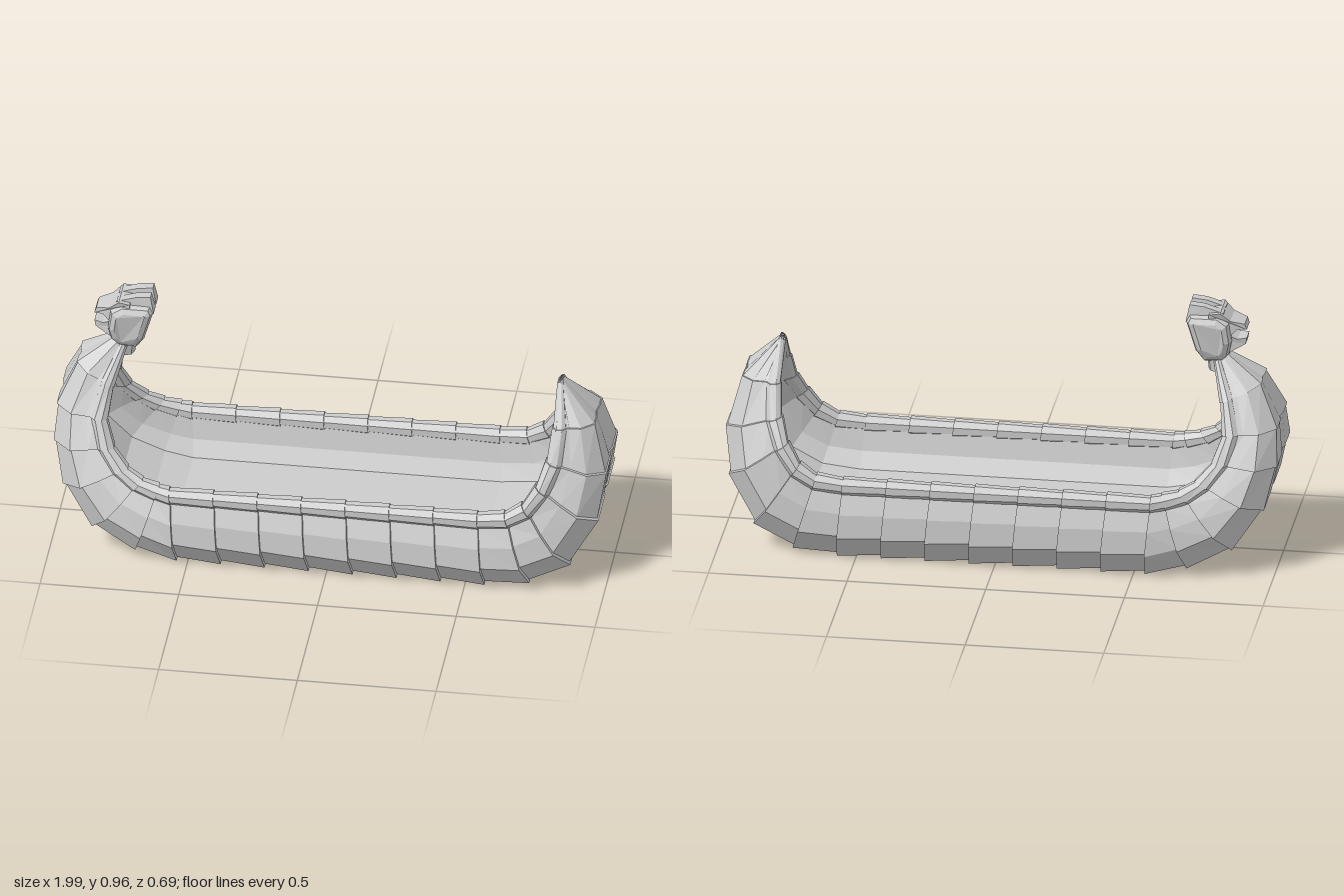
import * as THREE from 'three';

const mat = new THREE.MeshStandardMaterial({ color: 0xcccccc, flatShading: true, side: THREE.DoubleSide });

// Stations from bow to stern: keel x, keel y, rim x, rim y, bottom / bilge / rim half-widths
const bow = [
  [-0.80, 0.77, -0.75, 0.74, 0.02, 0.035, 0.04],
  [-0.93, 0.68, -0.785, 0.62, 0.07, 0.115, 0.13],
  [-0.995, 0.53, -0.80, 0.52, 0.12, 0.18, 0.19],
  [-1.0, 0.40, -0.77, 0.43, 0.16, 0.24, 0.235],
  [-0.96, 0.25, -0.715, 0.37, 0.21, 0.29, 0.27],
  [-0.85, 0.105, -0.66, 0.34, 0.25, 0.32, 0.29],
  [-0.69, 0.035, -0.60, 0.325, 0.275, 0.335, 0.30],
];
const stern = [
  [0.73, 0.025, 0.64, 0.325, 0.275, 0.338, 0.30],
  [0.875, 0.10, 0.70, 0.36, 0.25, 0.32, 0.29],
  [0.97, 0.27, 0.745, 0.425, 0.21, 0.28, 0.265],
  [0.99, 0.43, 0.775, 0.50, 0.145, 0.205, 0.21],
  [0.94, 0.60, 0.79, 0.60, 0.09, 0.13, 0.14],
  [0.81, 0.73, 0.798, 0.72, 0.015, 0.02, 0.02],
];
const middle = Array.from({ length: 8 }, (_, i) => {
  const x = -0.54 + i * 0.1585;
  return [x, 0.006, x - 0.025, 0.317, 0.28, 0.345, 0.305];
});
const stations = [...bow, ...middle, ...stern].map(([px, py, rx, ry, a, b, c]) => ({ px, py, rx, ry, a, b, c }));

// Point at height h (0 keel, 1 rim) and half-width z of a station
const at = (s, h, z) => new THREE.Vector3(
  THREE.MathUtils.lerp(s.px, s.rx, h), THREE.MathUtils.lerp(s.py, s.ry, h), z);

// Skin of quads between two rows of points
function band(out, A, B) {
  for (let i = 0; i < A.length - 1; i++) {
    for (const p of [A[i], B[i], B[i + 1], A[i], B[i + 1], A[i + 1]]) out.push(p.x, p.y, p.z);
  }
}

function skinMesh(name, out) {
  const geo = new THREE.BufferGeometry();
  geo.setAttribute('position', new THREE.Float32BufferAttribute(out, 3));
  geo.computeVertexNormals();
  const mesh = new THREE.Mesh(geo, mat);
  mesh.name = name;
  return mesh;
}

// Hull section from one rim to the other, with a shallow keel groove
function hullSection(s, k) {
  const half = [
    [0.80, s.c], [0.58, THREE.MathUtils.lerp(s.b, s.c, 0.25)], [0.30, s.b],
    [0, s.a], [0, Math.min(0.035, s.a * 0.5)],
  ];
  const full = [...half, [0.04, 0], ...half.slice().reverse().map(([h, z]) => [h, -z])];
  return full.map(([h, z]) => at(s, 0.5 + (h - 0.5) * k, z * k));
}

// Ring of the gunwale roll on one side
function rimSection(s, k, side) {
  const len = Math.hypot(s.px - s.rx, s.py - s.ry);
  const r = Math.min(0.036, 0.012 + s.c * 0.12);
  const h = 1 - Math.min(0.5, r / len);
  return Array.from({ length: 9 }, (_, i) => {
    const t = (i + 0.5) / 8 * Math.PI * 2;
    return at(s, h + Math.cos(t) * r * k / len, side * (s.c - r * 0.6 + Math.sin(t) * r * k));
  });
}

// Overlapping plates: each starts tucked in and flares to the next station
function plates(section, tuck) {
  const out = [];
  for (let i = 0; i < stations.length - 1; i++) {
    const full = section(stations[i + 1], 1);
    band(out, section(stations[i], tuck), full);
    band(out, full, section(stations[i + 1], tuck));
  }
  return out;
}

// Inner walls and floor
function innerSection(s) {
  const top = Math.max(0.01, s.c - 0.045), floor = Math.min(0.2, Math.max(0.008, s.c - 0.085));
  const half = [[0.9, top], [0.6, THREE.MathUtils.lerp(floor, top, 0.6)], [0.42, floor]];
  return [...half, ...half.slice().reverse().map(([h, z]) => [h, -z])].map(([h, z]) => at(s, h, z));
}

// Side profile extruded across z, then narrowed by a rule
function profilePart(name, points, halfWidth, bevel, narrow) {
  const shape = new THREE.Shape(points.map(([x, y]) => new THREE.Vector2(x, y)));
  const depth = 2 * (halfWidth - bevel);
  const geo = new THREE.ExtrudeGeometry(shape, {
    depth, steps: 2, bevelEnabled: bevel > 0, bevelThickness: bevel,
    bevelSize: bevel, bevelOffset: -bevel, bevelSegments: 2,
  });
  geo.translate(0, 0, -depth / 2);
  const p = geo.attributes.position;
  for (let i = 0; i < p.count; i++) p.setZ(i, p.getZ(i) * narrow(p.getX(i), p.getY(i)));
  geo.computeVertexNormals();
  const mesh = new THREE.Mesh(geo, mat);
  mesh.name = name;
  return mesh;
}

function createHead() {
  const head = new THREE.Group();
  head.name = 'figurehead';
  const barrel = (x, y) => 1 - 0.45 * Math.min(1, Math.abs(y - 0.86) / 0.12) ** 2;
  const snout = (x) => THREE.MathUtils.clamp(1 + (x + 0.77) * 5, 0.5, 1);
  head.add(profilePart('skull', [
    [-0.785, 0.75], [-0.72, 0.742], [-0.69, 0.79], [-0.658, 0.90], [-0.67, 0.925],
    [-0.77, 0.925], [-0.81, 0.90], [-0.82, 0.83], [-0.81, 0.78],
  ], 0.085, 0.025, barrel));
  head.add(profilePart('upperJaw', [
    [-0.74, 0.935], [-0.78, 0.94], [-0.815, 0.908], [-0.865, 0.893],
    [-0.872, 0.872], [-0.84, 0.875], [-0.82, 0.855], [-0.74, 0.86],
  ], 0.068, 0, snout));
  head.add(profilePart('lowerJaw', [
    [-0.74, 0.845], [-0.815, 0.848], [-0.84, 0.835], [-0.872, 0.838],
    [-0.868, 0.815], [-0.81, 0.785], [-0.74, 0.77],
  ], 0.062, 0, snout));
  // Split crest on top of the head
  for (const side of [1, -1]) {
    const crest = profilePart('crest', [
      [-0.655, 0.90], [-0.668, 0.962], [-0.72, 0.957], [-0.79, 0.935], [-0.79, 0.90],
    ], 0.026, 0, (x, y) => (y > 0.93 ? 0.65 : 1));
    crest.position.z = side * 0.031;
    head.add(crest);
  }
  return head;
}

export function createModel() {
  const model = new THREE.Group();
  model.name = 'longboat';
  model.add(skinMesh('hullPlates', plates(hullSection, 0.95)));
  for (const side of [1, -1]) {
    model.add(skinMesh(side > 0 ? 'frontRim' : 'backRim', plates((s, k) => rimSection(s, k, side), 0.85)));
  }
  const inner = [];
  for (let i = 0; i < stations.length - 1; i++) {
    band(inner, innerSection(stations[i + 1]), innerSection(stations[i]));
  }
  model.add(skinMesh('innerHull', inner));

  // Neck under the figurehead
  const neck = new THREE.Mesh(new THREE.CylinderGeometry(0.045, 0.035, 0.09, 8), mat);
  neck.position.set(-0.765, 0.745, 0);
  neck.name = 'neck';
  model.add(neck, createHead());
  return model;
}
